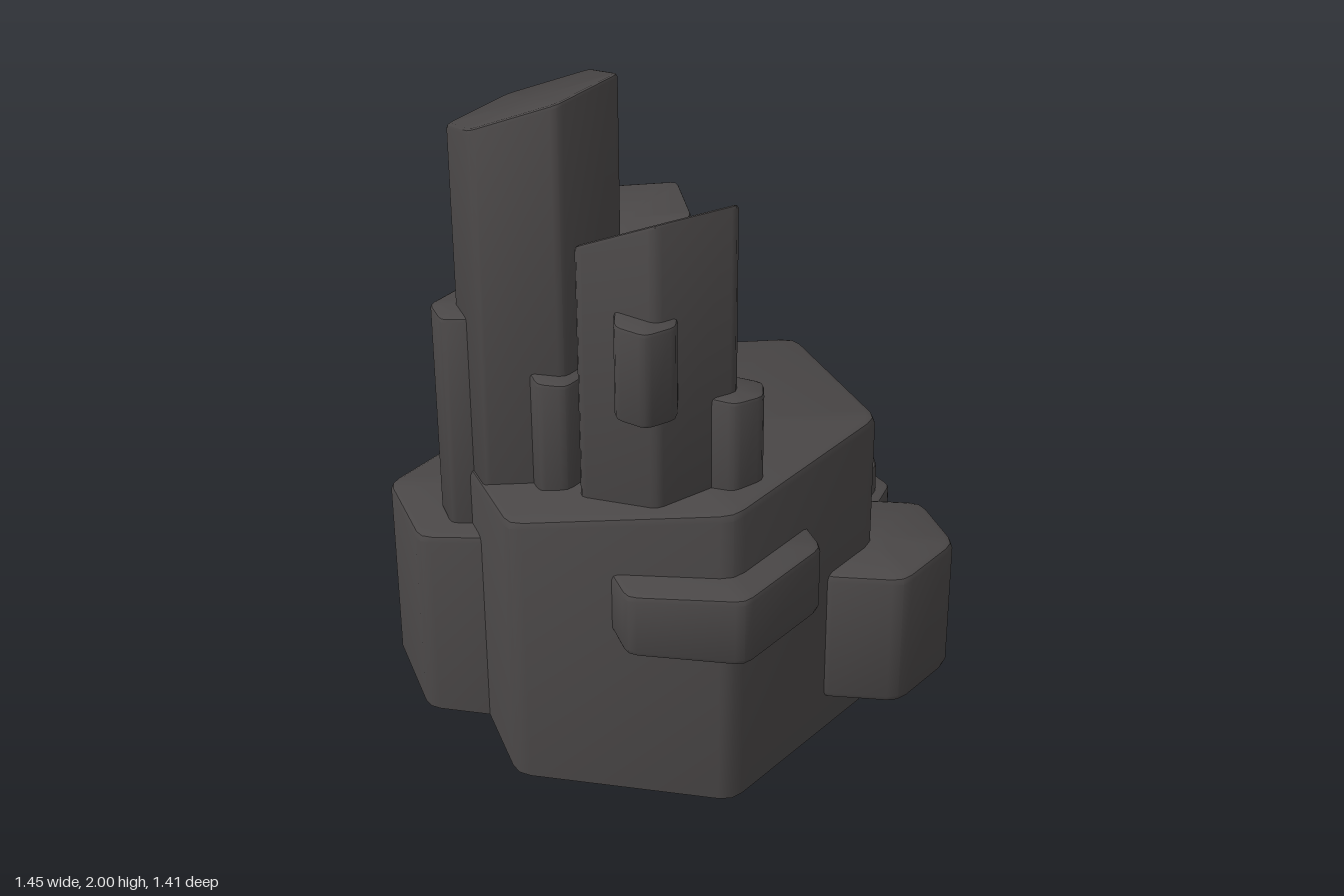
import * as THREE from 'three';
import { toCreasedNormals } from 'three/addons/utils/BufferGeometryUtils.js';

const material = new THREE.MeshStandardMaterial({ color: 0x4a4747, side: THREE.DoubleSide });

// Regular hexagon footprint as [x, z] corners
function hexagon(cx, cz, r, turn = 0) {
  return Array.from({ length: 6 }, (_, i) => {
    const a = (i * 60 + turn) * Math.PI / 180;
    return [cx + r * Math.cos(a), cz + r * Math.sin(a)];
  });
}

// Replace every corner by a short curve
function roundCorners(corners, d) {
  const out = [];
  const n = corners.length;
  const toward = (p, q) => {
    const len = Math.hypot(q[0] - p[0], q[1] - p[1]);
    const t = Math.min(d, len * 0.4) / len;
    return [p[0] + (q[0] - p[0]) * t, p[1] + (q[1] - p[1]) * t];
  };
  corners.forEach((p, i) => {
    const a = toward(p, corners[(i + n - 1) % n]);
    const b = toward(p, corners[(i + 1) % n]);
    out.push(a, [0, 1].map(k => (a[k] + 2 * p[k] + b[k]) / 4), b);
  });
  return out;
}

// Upright prism with a tilted, bevelled top; top = height at the centre,
// tilt = rise per unit of x and z
function crystal(name, corners, { bottom = 0, top, tilt = [0, 0], bottomTilt = [0, 0], bevel = 0.012, open = false }) {
  const cx = corners.reduce((s, p) => s + p[0], 0) / corners.length;
  const cz = corners.reduce((s, p) => s + p[1], 0) / corners.length;
  const radius = Math.max(...corners.map(p => Math.hypot(p[0] - cx, p[1] - cz)));
  const outline = roundCorners(corners, bevel * 1.6);
  const n = outline.length;
  const pos = [], index = [];

  const levels = [[true, 0, bevel], [true, bevel * 0.3, bevel * 0.3], [true, bevel, 0]];
  const lower = open ? [[false, 0, 0]] : [[false, bevel, 0], [false, bevel * 0.3, bevel * 0.3], [false, 0, bevel]];
  const rings = [...lower, ...levels];
  const point = (isTop, x, z, offset) => {
    const [sx, sz] = isTop ? tilt : bottomTilt;
    const y = (isTop ? top - offset : bottom + offset) + sx * (x - cx) + sz * (z - cz);
    pos.push(x, y, z);
  };
  for (const [isTop, inset, offset] of rings) {
    const s = 1 - inset / radius;
    for (const [x, z] of outline) point(isTop, cx + (x - cx) * s, cz + (z - cz) * s, offset);
  }
  const topCentre = rings.length * n;
  point(true, cx, cz, 0);
  point(false, cx, cz, 0);

  for (let i = 0; i < n; i++) {
    const j = (i + 1) % n;
    for (let k = 0; k < rings.length - 1; k++) {
      const a = k * n, b = a + n;
      index.push(a + i, b + i, a + j, b + i, b + j, a + j);
    }
    const last = (rings.length - 1) * n;
    index.push(topCentre, last + j, last + i);
    if (!open) index.push(topCentre + 1, i, j);
  }
  const geometry = new THREE.BufferGeometry();
  geometry.setAttribute('position', new THREE.Float32BufferAttribute(pos, 3));
  geometry.setIndex(index);
  const mesh = new THREE.Mesh(toCreasedNormals(geometry, 0.6), material);
  mesh.name = name;
  return mesh;
}

export function createModel() {
  const group = new THREE.Group();
  group.name = 'rockColumns';
  const add = (...args) => group.add(crystal(...args));

  // Wide base column and the pillar behind it, both hollow underneath
  add('baseColumn', hexagon(-0.125, -0.02, 0.612), { top: 0.866, tilt: [0, 0.196], bevel: 0.025, open: true });
  add('backPillar', hexagon(-0.35, -0.415, 0.34), { top: 0.61, tilt: [0, 0.13], bevel: 0.022, open: true });

  // Three tall columns standing on the base
  add('tallColumn', hexagon(-0.375, -0.225, 0.232), { bottom: 0.75, top: 1.905, tilt: [0, 0.475] });
  add('frontColumn', hexagon(-0.315, 0.147, 0.238, 20), { bottom: 0.78, top: 1.645, tilt: [-0.24, 0.59] });
  add('rightColumn', hexagon(-0.05, -0.21, 0.2, 8), { bottom: 0.76, top: 1.42, tilt: [0.21, 0.175] });

  // Small columns around the tall ones
  add('smallBackColumn', hexagon(-0.475, -0.385, 0.113), { bottom: 0.6, top: 1.28, tilt: [0, 0.15] });
  add('smallRightColumn', hexagon(0.125, -0.182, 0.08, 12), { bottom: 0.78, top: 1.0 });
  add('smallMiddleColumn', hexagon(-0.005, -0.075, 0.09, 15), { bottom: 1.03, top: 1.22, tilt: [0.06, 0.06] });
  add('smallFrontColumn', hexagon(-0.265, 0.367, 0.088, 20), { bottom: 0.85, top: 1.215, tilt: [-0.08, 0.12] });
  add('smallLeftColumn', hexagon(-0.485, 0.255, 0.093, 20), { bottom: 1.21, top: 1.495 });
  add('smallInnerColumn', hexagon(-0.485, -0.06, 0.08), { bottom: 0.8, top: 1.2 });

  // Blocks growing out of the sides of the base
  add('frontLeftBlock', hexagon(-0.335, 0.325, 0.32), { bottom: 0.545, top: 0.745, tilt: [0, 0.1], bottomTilt: [0, 0.04], bevel: 0.018 });
  add('frontRightBlock', hexagon(0.195, 0.495, 0.235), { bottom: 0.11, top: 0.545, tilt: [0, 0.08], bottomTilt: [0, 0.07], bevel: 0.022 });
  add('rightBlock', [[0.25, -0.225], [0.64, -0.195], [0.67, -0.13], [0.65, 0.15], [0.6, 0.215], [0.25, 0.245]],
    { bottom: 0.012, top: 0.45, tilt: [0.08, 0], bevel: 0.018 });
  add('rightFrontChip', hexagon(0.56, 0.14, 0.125, 42), { bottom: 0.265, top: 0.36 });
  add('rightBackChip', hexagon(0.63, -0.195, 0.1), { bottom: 0.065, top: 0.265 });
  return group;
}
